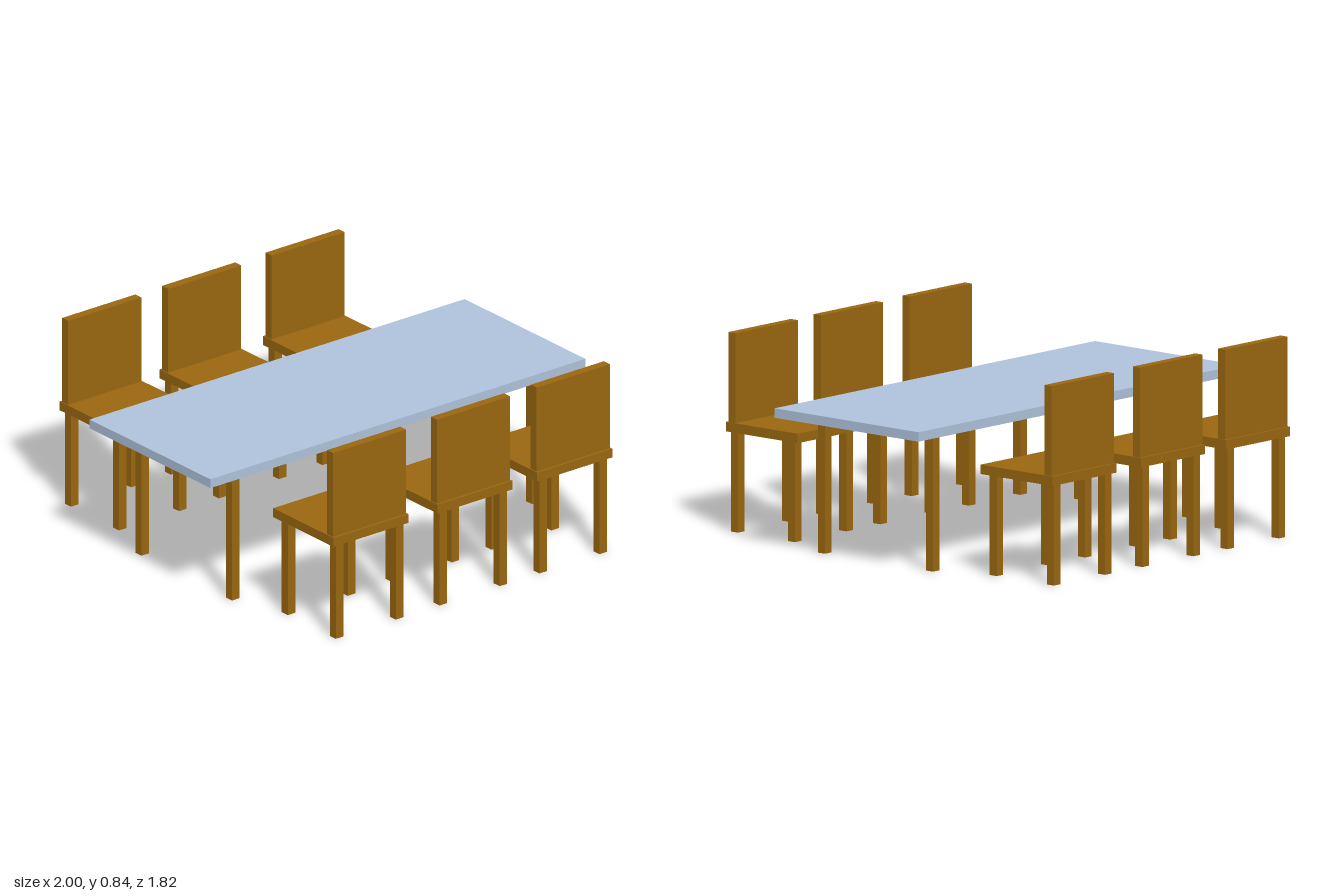
import * as THREE from 'three';

const wood = new THREE.MeshStandardMaterial({ color: 0x9b6810 });
const blue = new THREE.MeshStandardMaterial({ color: 0xb0c4de });

// Box standing on height y, centred on x and z
function addBox(parent, name, material, [w, h, d], [x, y, z]) {
  const mesh = new THREE.Mesh(new THREE.BoxGeometry(w, h, d), material);
  mesh.name = name;
  mesh.position.set(x, y + h / 2, z);
  parent.add(mesh);
}

// Table: thin top on four square legs
function createTable() {
  const table = new THREE.Group();
  table.name = 'table';
  addBox(table, 'tableTop', blue, [2, 0.04, 0.8], [0, 0.585, 0]);
  for (const x of [-0.8, 0.8])
    for (const z of [-0.3, 0.3])
      addBox(table, 'tableLeg', wood, [0.04, 0.585, 0.04], [x, 0, z]);
  return table;
}

// Chair: its backrest is on the +z side, so it faces -z
function createChair() {
  const chair = new THREE.Group();
  chair.name = 'chair';
  addBox(chair, 'seat', wood, [0.4, 0.04, 0.4], [0, 0.425, 0]);
  addBox(chair, 'backrest', wood, [0.39, 0.38, 0.04], [0, 0.465, 0.17]);
  for (const x of [-0.16, 0.16]) {
    addBox(chair, 'frontLeg', wood, [0.04, 0.425, 0.04], [x, 0, -0.148]);
    addBox(chair, 'backLeg', wood, [0.04, 0.425, 0.04], [x, 0, 0.17]);
  }
  return chair;
}

export function createModel() {
  const model = new THREE.Group();
  model.name = 'diningSet';
  model.add(createTable());

  // Slightly uneven rows of chairs on both long sides
  const rows = [
    { z: 0.711, turn: 0, xs: [-0.555, -0.001, 0.531] },
    { z: -0.711, turn: Math.PI, xs: [-0.547, -0.015, 0.537] },
  ];
  for (const { z, turn, xs } of rows)
    for (const x of xs) {
      const chair = createChair();
      chair.position.set(x, 0, z);
      chair.rotation.y = turn;
      model.add(chair);
    }
  return model;
}
